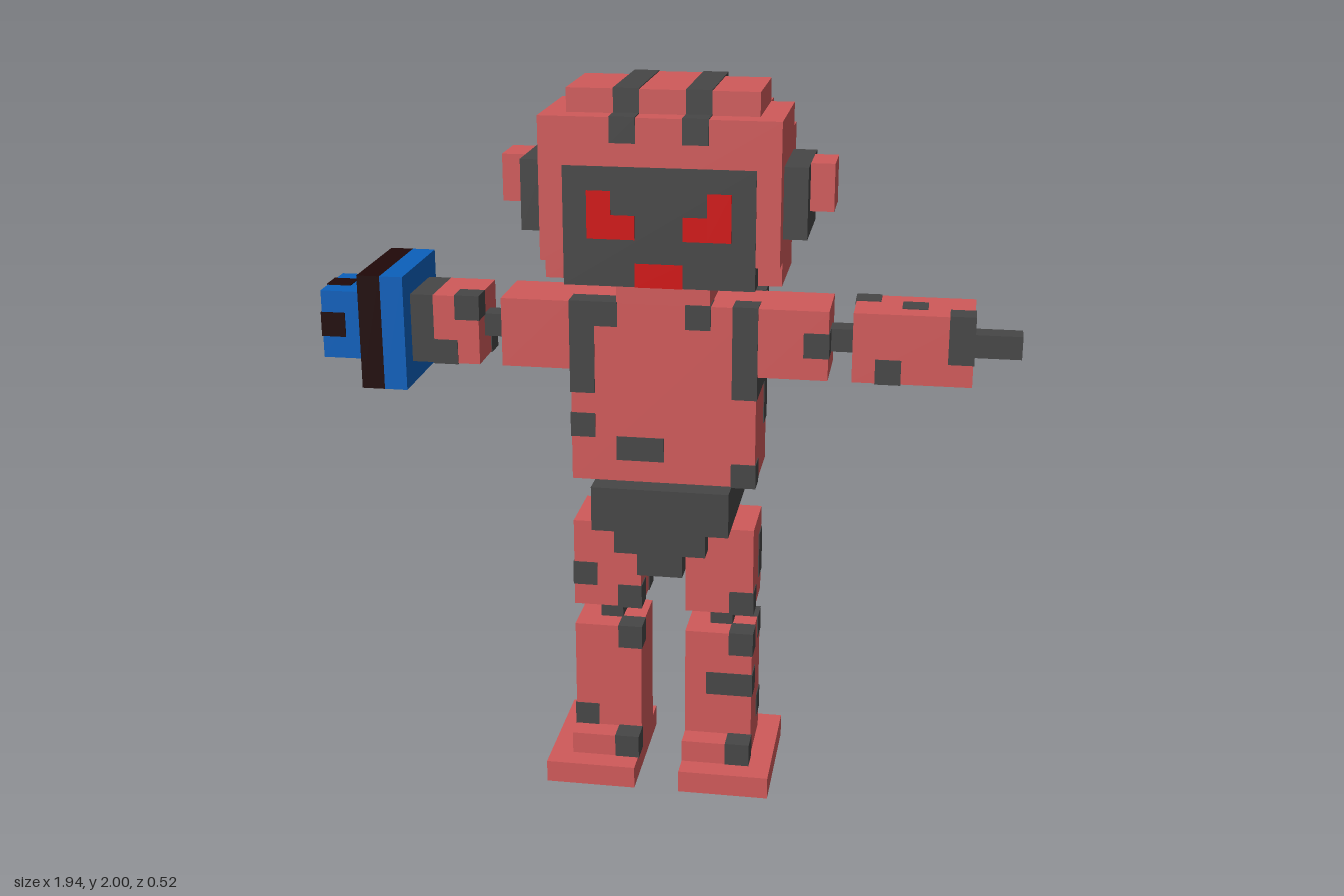
import * as THREE from 'three';

// Everything sits on a block grid; the figure is 31 blocks tall.
const U = 2 / 31;

function makeMaterial(name, color) {
  const m = new THREE.MeshStandardMaterial({ color });
  m.name = name;
  return m;
}

export function createModel() {
  const red = makeMaterial('dustyRed', 0xcf5a5a);
  const dark = makeMaterial('charcoal', 0x464646);
  const glow = makeMaterial('brightRed', 0xd01010);
  const blue = makeMaterial('blue', 0x0c60bb);
  const black = makeMaterial('brownBlack', 0x200808);
  const green = makeMaterial('green', 0x10a818);

  const model = new THREE.Group();
  model.name = 'robot';

  function group(name) {
    const g = new THREE.Group();
    g.name = name;
    model.add(g);
    return g;
  }

  // Box between two grid corners, optionally grown a little on every side
  function box(parent, name, mat, x0, x1, y0, y1, z0, z1, grow = 0) {
    const g = 2 * grow;
    const mesh = new THREE.Mesh(
      new THREE.BoxGeometry((x1 - x0 + g) * U, (y1 - y0 + g) * U, (z1 - z0 + g) * U), mat);
    mesh.position.set((x0 + x1) / 2 * U, (y0 + y1) / 2 * U, (z0 + z1) / 2 * U);
    mesh.name = name;
    parent.add(mesh);
    return mesh;
  }

  // Painted blocks: each is [x, y, z, width, height, depth]
  function spots(parent, name, mat, list) {
    for (const [x, y, z, w = 1, h = 1, d = 1] of list)
      box(parent, name, mat, x, x + w, y, y + h, z, z + d, 0.04);
  }

  // Legs
  for (const s of [-1, 1]) {
    const leg = group(s > 0 ? 'leftLeg' : 'rightLeg');
    const span = (a, b) => (s > 0 ? [a, b] : [-b, -a]);
    box(leg, 'foot', red, ...span(1, 5), 0, 1, -2, 4);
    box(leg, 'toe', red, ...span(1, 4), 1, 2, 2, 3);
    box(leg, 'shin', red, ...span(1, 4), 1, 7, -1, 2);
    box(leg, 'knee', dark, ...span(2, 3), 7, 8, 0, 1);
    box(leg, 'thigh', red, ...span(1, 4), 8, 12, -1, 2);
    spots(leg, 'legPatch', dark, s > 0
      ? [[3, 1, 2], [3, 8, 1], [3, 9, -1, 1, 2, 1], [3, 6, 1], [3, 6, -1], [2, 4, 1, 2, 1, 1],
        [3, 2, -1], [2, 6, -1], [1, 4, -1], [1, 9, -1]]
      : [[-2, 1, 2], [-4, 9, 1], [-2, 8, 1], [-2, 6, 1], [-4, 2, 1],
        [-3, 5, -1, 1, 2, 1], [-4, 4, -1], [-4, 9, -1], [-2, 8, -1]]);
  }

  // Belt with stepped front flap
  const hips = group('hips');
  box(hips, 'belt', dark, -3, 3, 12, 14, -3, 3);
  box(hips, 'flapUpper', dark, -2, 2, 11, 12, 2, 3);
  box(hips, 'flapLower', dark, -1, 1, 10, 11, 2, 3);

  // Torso, shoulder straps and neck
  const torso = group('torso');
  box(torso, 'chest', red, -4, 4, 14, 22, -2, 2);
  box(torso, 'neck', red, -2, 2, 22, 23, -1, 2);
  for (const x of [-4, 3]) {
    spots(torso, 'strap', dark, [
      [x, 18, 1, 1, 4, 1], [x, 18, -1, 1, 1, 2],
      [x, x > 0 ? 16 : 18, -2, 1, x > 0 ? 6 : 4, 1],
    ]);
  }
  spots(torso, 'chestPatch', dark,
    [[-3, 21, 1], [1, 21, 1], [-4, 16, 1], [-2, 15, 1, 2, 1, 1], [3, 14, 1], [-4, 14, -2], [0, 16, -2]]);

  // Canister carried across the back
  const canister = group('backCanister');
  [green, dark, glow, dark, glow, dark].forEach((mat, i) =>
    box(canister, 'canisterSegment', mat, i - 3, i - 2, 19, 21, -3, -2));

  // Arms
  const left = group('leftArm');
  box(left, 'upperArm', red, 4, 7, 19, 22, -1, 2);
  box(left, 'elbow', dark, 7, 8, 20, 21, 0, 1);
  box(left, 'forearm', red, 8, 13, 19, 22, -1, 2);
  box(left, 'hand', dark, 13, 15, 20, 21, 0, 1);
  spots(left, 'armPatch', dark,
    [[6, 20, 1], [12, 21, 1], [9, 19, 1], [8, 21, -1], [10, 21, 0], [12, 20, 1], [11, 19, -1]]);

  const right = group('rightArm');
  box(right, 'upperArm', red, -7, -4, 19, 22, -1, 2);
  box(right, 'elbow', dark, -8, -7, 20, 21, 0, 1);
  box(right, 'forearm', red, -10, -8, 19, 22, -1, 2);
  box(right, 'cuff', dark, -11, -10, 19, 22, -1, 2);
  spots(right, 'armPatch', dark, [[-9, 21, 1], [-10, 19, 1], [-10, 19, -1, 2, 1, 1]]);

  // Hammer-shaped right hand
  const hammer = group('hammerHand');
  box(hammer, 'innerPlate', blue, -12, -11, 18, 23, -2, 3);
  box(hammer, 'outerPlate', black, -13, -12, 18, 23, -2, 3);
  box(hammer, 'nozzle', blue, -15, -13, 19, 22, -1, 2);
  spots(hammer, 'nozzleMark', black, [[-15, 20, 1], [-15, 21, 0], [-15, 20, -1], [-15, 19, 0]]);

  // Helmet in stacked layers from front to back
  const head = group('head');
  box(head, 'helmet', red, -5, 5, 23, 30, -2, 2);
  box(head, 'helmetFront', red, -5, 5, 24, 30, 2, 3);
  box(head, 'chin', dark, -4, 4, 23, 24, 2, 3);
  box(head, 'helmetBack', red, -5, 5, 24, 29, -3, -2);
  box(head, 'helmetBackRim', red, -4, 4, 23, 30, -3, -2);
  box(head, 'backPlate', red, -4, 4, 24, 29, -4, -3);
  box(head, 'crown', red, -4, 4, 30, 31, -2, 2);
  box(head, 'crownBack', red, -2, 2, 30, 31, -3, -2);
  for (const x of [-2, 1])
    spots(head, 'crownStripe', dark, [[x, 30, -3, 1, 1, 5], [x, 29, 2]]);
  spots(head, 'backPatch', dark, [[-4, 27, -4, 2, 2, 1], [1, 26, -4], [-2, 26, -4]]);

  // Face plate, eyes and mouth
  box(head, 'facePlate', dark, -4, 4, 23, 28, 3, 3.04);
  for (const s of [-1, 1]) {
    const eye = s > 0 ? 'leftEye' : 'rightEye';
    box(head, eye, glow, 2.5 * s - 0.5, 2.5 * s + 0.5, 25, 27, 3, 3.1);
    box(head, eye, glow, 1.5 * s - 0.5, 1.5 * s + 0.5, 25, 26, 3, 3.1);
  }
  box(head, 'mouth', glow, -1, 1, 23, 24, 3, 3.1);

  // Ears
  for (const s of [-1, 1]) {
    box(head, 'earPad', dark, 5.5 * s - 0.5, 5.5 * s + 0.5, 25, 28, -2, 2);
    box(head, 'earKnob', red, 6.5 * s - 0.5, 6.5 * s + 0.5, 26, 28, -1, 1);
  }

  return model;
}
